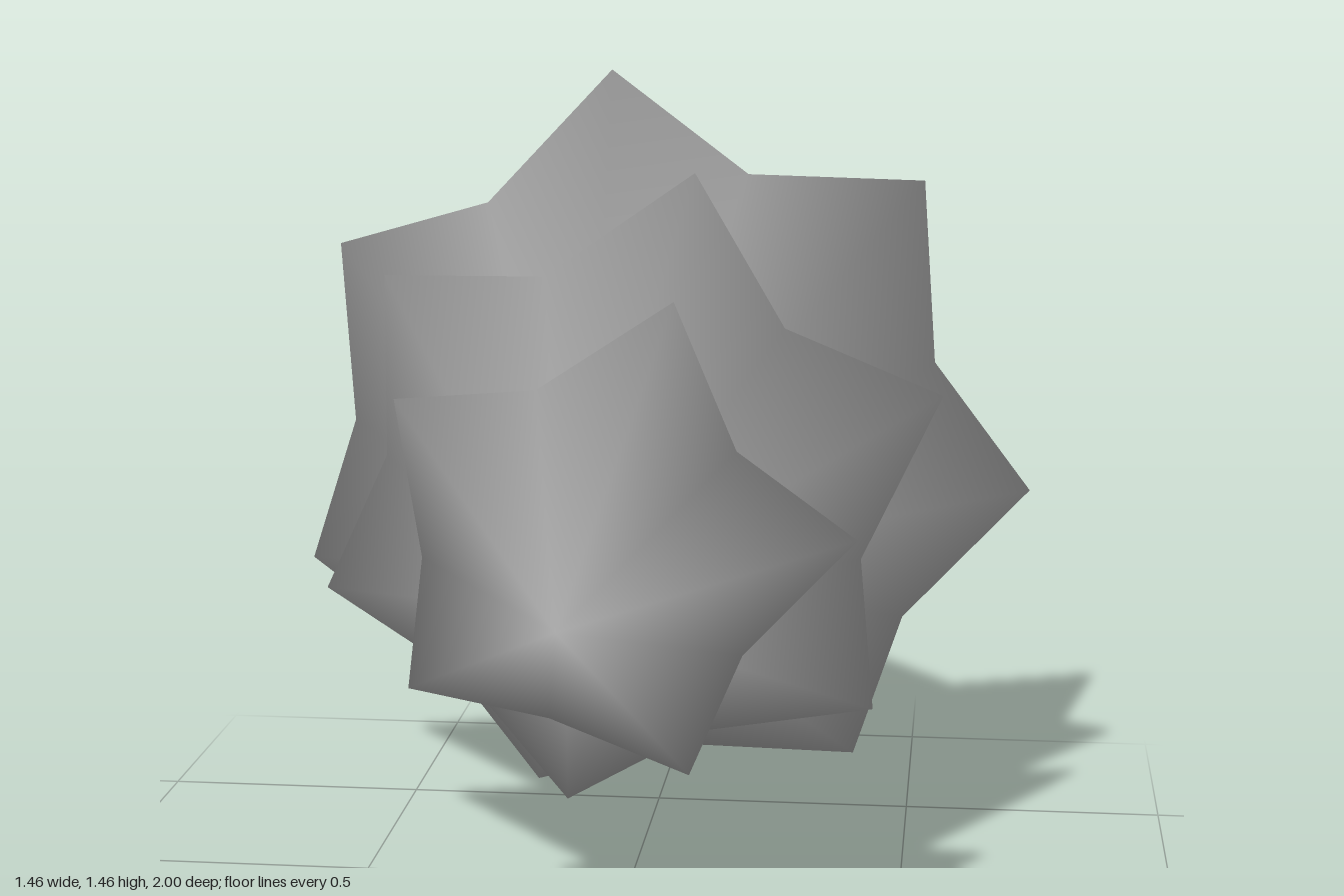
import * as THREE from 'three';

const grey = new THREE.MeshStandardMaterial({ color: 0xc0c0c0, side: THREE.DoubleSide });
grey.name = 'grey';

// The tree lies along z, its axis very slightly tilted
const onAxis = (z) => [-0.011 * (1 - z), 0.73 - 0.0095 * (1 - z), z];

// Smooth vertex normals, each face weighted by its corner angle
function smoothByAngle(geo) {
  const position = geo.attributes.position;
  const index = geo.index.array;
  const points = Array.from({ length: position.count }, (_, i) => new THREE.Vector3().fromBufferAttribute(position, i));
  const normals = points.map(() => new THREE.Vector3());
  for (let f = 0; f < index.length; f += 3) {
    const corners = [index[f], index[f + 1], index[f + 2]];
    const faceNormal = new THREE.Triangle(...corners.map((c) => points[c])).getNormal(new THREE.Vector3());
    corners.forEach((c, k) => {
      const toNext = points[corners[(k + 1) % 3]].clone().sub(points[c]);
      const toPrevious = points[corners[(k + 2) % 3]].clone().sub(points[c]);
      normals[c].addScaledVector(faceNormal, toNext.angleTo(toPrevious));
    });
  }
  const values = normals.flatMap((n) => n.normalize().toArray());
  geo.setAttribute('normal', new THREE.Float32BufferAttribute(values, 3));
}

// Star-rimmed cone: apex, zigzag rim and shallow hollow underside
function tier({ name, points, start, apexZ, tipR, tipZ, valleyR, valleyZ, hollowZ }) {
  const n = points * 2;
  const pos = [...onAxis(apexZ), ...onAxis(hollowZ)];
  const index = [];
  for (let i = 0; i < n; i++) {
    const a = THREE.MathUtils.degToRad(start) + (i / n) * Math.PI * 2;
    const tip = i % 2 === 0;
    const r = tip ? tipR : valleyR;
    const [cx, cy, z] = onAxis(tip ? tipZ : valleyZ);
    pos.push(cx + r * Math.cos(a), cy + r * Math.sin(a), z);
    const p = 2 + i, q = 2 + ((i + 1) % n);
    index.push(0, p, q, 1, q, p);
  }
  const geo = new THREE.BufferGeometry();
  geo.setAttribute('position', new THREE.Float32BufferAttribute(pos, 3));
  geo.setIndex(index);
  smoothByAngle(geo);
  const mesh = new THREE.Mesh(geo, grey);
  mesh.name = name;
  return mesh;
}

export function createModel() {
  const tree = new THREE.Group();
  tree.name = 'tree';

  // Foliage, from the tip to the base
  [
    { name: 'topFoliage', points: 5, start: 2, apexZ: 1, tipR: 0.434, tipZ: 0.355, valleyR: 0.297, valleyZ: 0.455, hollowZ: 0.52 },
    { name: 'middleFoliage', points: 6, start: 18.7, apexZ: 0.88, tipR: 0.605, tipZ: -0.085, valleyR: 0.44, valleyZ: 0.04, hollowZ: 0.12 },
    { name: 'bottomFoliage', points: 7, start: 96.8, apexZ: 0.6, tipR: 0.753, tipZ: -0.608, valleyR: 0.59, valleyZ: -0.46, hollowZ: -0.36 },
  ].forEach((t) => tree.add(tier(t)));

  // Four-sided hollow trunk flaring towards its open foot
  const geo = new THREE.CylinderGeometry(0.115, 0.208, 0.7, 4, 1, true, Math.PI / 2 + 0.31);
  geo.rotateX(Math.PI / 2);
  const trunk = new THREE.Mesh(geo, grey);
  trunk.name = 'trunk';
  trunk.position.set(-0.021, 0.713, -0.65);
  tree.add(trunk);

  return tree;
}
